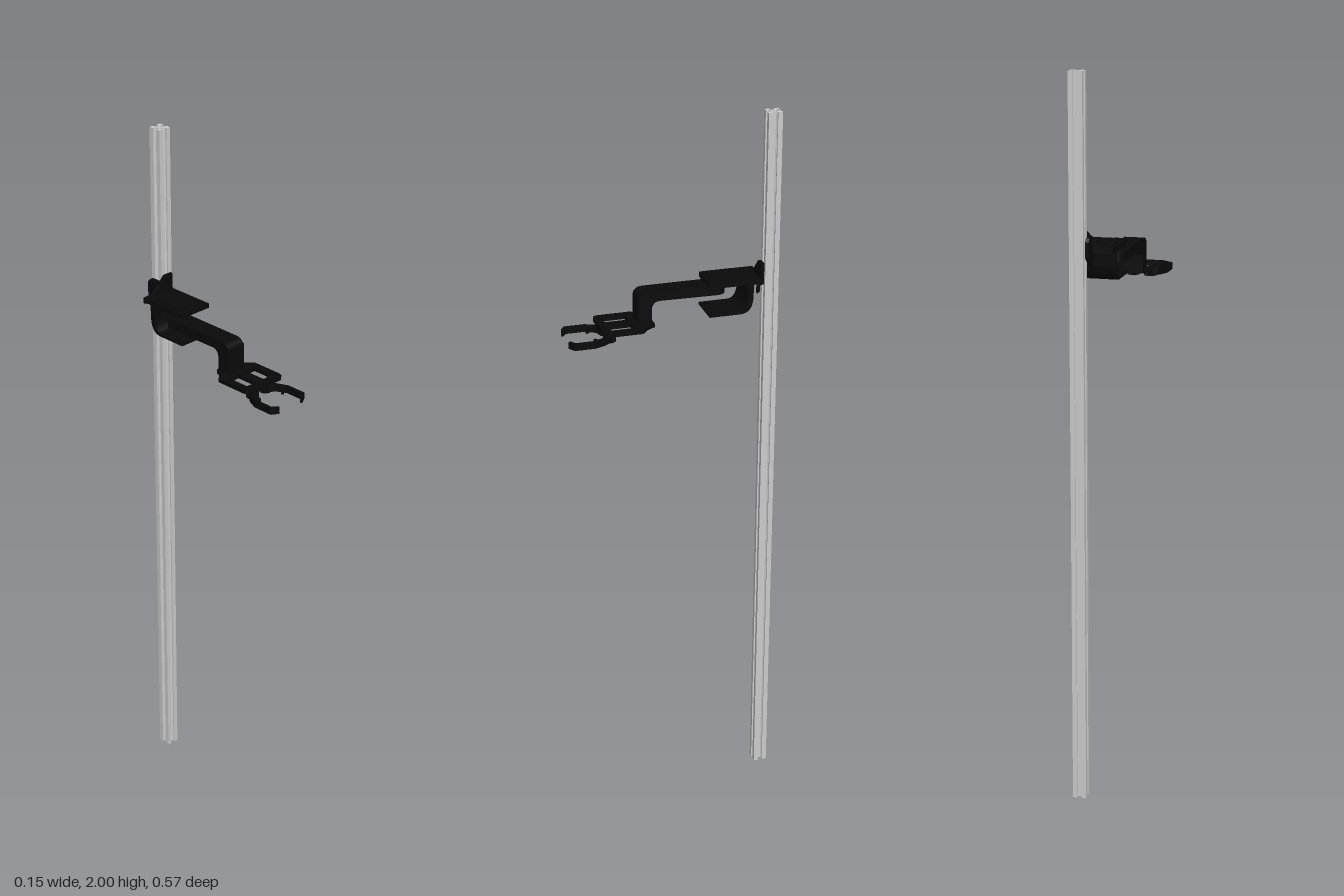
import * as THREE from 'three';

const black = new THREE.MeshStandardMaterial({ color: 0x0a0a0a });
const grey = new THREE.MeshStandardMaterial({ color: 0xcccccc });

const toShape = pts => new THREE.Shape(pts.map(p => new THREE.Vector2(p[0], p[1])));
const toHole = pts => new THREE.Path(pts.map(p => new THREE.Vector2(p[0], p[1])));

function add(parent, name, geometry, material = black) {
  const mesh = new THREE.Mesh(geometry, material);
  mesh.name = name;
  parent.add(mesh);
  return mesh;
}

// Plan outline in (x, z), filling the heights y0 to y1
function slab(shape, y0, y1) {
  return new THREE.ExtrudeGeometry(shape, { depth: y1 - y0, bevelEnabled: false, curveSegments: 8 })
    .rotateX(Math.PI / 2).translate(0, y1, 0);
}

// Side outline in (z, y), filling the widths x0 to x1
function sideSlab(shape, x0, x1) {
  return new THREE.ExtrudeGeometry(shape, { depth: x1 - x0, bevelEnabled: false, curveSegments: 8 })
    .rotateY(-Math.PI / 2).translate(x1, 0, 0);
}

function box(x0, x1, y0, y1, z0, z1) {
  return new THREE.BoxGeometry(x1 - x0, y1 - y0, z1 - z0)
    .translate((x0 + x1) / 2, (y0 + y1) / 2, (z0 + z1) / 2);
}

function pin(x, z, r, y0, y1, sides = 20) {
  return new THREE.CylinderGeometry(r, r, y1 - y0, sides).translate(x, (y0 + y1) / 2, z);
}

// Slotted square rail: one side's slot repeated around the centre
function buildPole() {
  const half = [[0.019, 0.006], [0.0145, 0.006], [0.0145, 0.0105], [0.0075, 0.004]];
  const side = [
    ...half.map(([x, y]) => [x, -y]),
    ...half.slice().reverse(),
    [0.019, 0.019],
  ];
  const pts = [];
  for (let i = 0; i < 4; i++) {
    const c = [1, 0, -1, 0][i], s = [0, 1, 0, -1][i];
    side.forEach(([x, y]) => pts.push([x * c - y * s, x * s + y * c]));
  }
  const shape = toShape(pts);
  shape.holes.push(new THREE.Path().absarc(0, 0, 0.004, 0, Math.PI * 2, true));
  return slab(shape, 0, 2).translate(0.054, 0, -0.265);
}

function buildBracket() {
  const g = new THREE.Group();
  g.name = 'shoulderBracket';

  // Top plate with rounded back corner
  const top = new THREE.Shape();
  top.moveTo(-0.033, -0.095);
  top.lineTo(-0.033, -0.235);
  top.quadraticCurveTo(-0.033, -0.245, -0.023, -0.245);
  top.lineTo(0.067, -0.245);
  top.lineTo(0.067, -0.095);
  add(g, 'topPlate', slab(top, 1.533, 1.546));
  add(g, 'topCover', box(-0.024, -0.002, 1.546, 1.55, -0.185, -0.112));

  // Curved back wall running into the thin lower plate
  const wall = new THREE.Shape();
  wall.moveTo(-0.19, 1.535);
  wall.lineTo(-0.218, 1.535);
  wall.lineTo(-0.216, 1.49);
  wall.quadraticCurveTo(-0.212, 1.452, -0.18, 1.452);
  wall.lineTo(-0.095, 1.452);
  wall.lineTo(-0.095, 1.459);
  wall.lineTo(-0.178, 1.459);
  wall.quadraticCurveTo(-0.2, 1.462, -0.203, 1.5);
  wall.quadraticCurveTo(-0.203, 1.525, -0.19, 1.535);
  add(g, 'curvedBackWall', sideSlab(wall, -0.033, 0.067));

  // Plate against the pole with a sloped shoulder
  const back = toShape([[-0.033, 1.53], [0.067, 1.53], [0.067, 1.59], [0.04, 1.59], [0, 1.548], [-0.033, 1.546]]);
  add(g, 'mountPlate', new THREE.ExtrudeGeometry(back, { depth: 0.009, bevelEnabled: false }).translate(0, 0, -0.245));

  // Flange along the side of the pole
  const flange = toShape([[-0.24, 1.49], [-0.24, 1.575], [-0.275, 1.575], [-0.284, 1.565], [-0.284, 1.525]]);
  add(g, 'poleFlange', sideSlab(flange, 0.02, 0.03));
  add(g, 'shoulderPin', pin(-0.012, -0.13, 0.012, 1.5, 1.535));
  return g;
}

function buildArm() {
  const g = new THREE.Group();
  g.name = 'forearm';

  // Beam with a downward elbow
  const beam = new THREE.Shape();
  beam.moveTo(-0.135, 1.493);
  beam.lineTo(-0.135, 1.521);
  beam.lineTo(0.06, 1.521);
  beam.quadraticCurveTo(0.088, 1.521, 0.088, 1.495);
  beam.lineTo(0.088, 1.43);
  beam.lineTo(0.05, 1.43);
  beam.lineTo(0.05, 1.475);
  beam.quadraticCurveTo(0.048, 1.493, 0.03, 1.495);
  add(g, 'beam', sideSlab(beam, -0.04, 0.016));
  add(g, 'shoulderEnd', pin(-0.012, -0.132, 0.028, 1.493, 1.521, 28));
  add(g, 'elbowMotor', box(0.016, 0.021, 1.44, 1.505, 0.054, 0.084));
  return g;
}

function buildHand() {
  const g = new THREE.Group();
  g.name = 'hand';
  g.position.x = -0.007;

  // Palm frame with two windows
  const palm = new THREE.Shape();
  palm.moveTo(-0.033, 0.045);
  palm.lineTo(0.033, 0.045);
  palm.quadraticCurveTo(0.04, 0.068, 0.067, 0.085);
  palm.lineTo(0.067, 0.175);
  palm.quadraticCurveTo(0.067, 0.192, 0.052, 0.192);
  palm.lineTo(-0.052, 0.192);
  palm.quadraticCurveTo(-0.067, 0.192, -0.067, 0.175);
  palm.lineTo(-0.067, 0.085);
  palm.quadraticCurveTo(-0.04, 0.068, -0.033, 0.045);
  for (const s of [-1, 1]) {
    palm.holes.push(toHole([[s * 0.014, 0.107], [s * 0.046, 0.107], [s * 0.046, 0.17], [s * 0.014, 0.17]]));
  }
  add(g, 'palmFrame', slab(palm, 1.425, 1.436));

  for (const s of [-1, 1]) {
    const side = s > 0 ? 'left' : 'right';
    const flip = pts => toShape(pts.map(([x, z]) => [s * x, z]));

    // Toothed wheel under the palm
    const teeth = [];
    for (let i = 0; i < 24; i++) {
      const a = i / 24 * Math.PI * 2, r = i % 2 ? 0.0135 : 0.0175;
      teeth.push([0.024 + r * Math.cos(a), 0.168 + r * Math.sin(a)]);
    }
    add(g, side + 'Gear', slab(flip(teeth), 1.397, 1.416));
    add(g, side + 'GearPin', pin(s * 0.024, 0.176, 0.005, 1.4, 1.43));

    // Bent finger with an inward tip
    add(g, side + 'Finger', slab(flip([
      [0.024, 0.178], [0.034, 0.165], [0.05, 0.185], [0.063, 0.215], [0.063, 0.272],
      [0.043, 0.284], [0.04, 0.278], [0.055, 0.268], [0.055, 0.218], [0.042, 0.192],
    ]), 1.397, 1.416));

    // Short guide link beside the finger
    add(g, side + 'Link', slab(flip([[0.054, 0.2], [0.058, 0.206], [0.043, 0.217], [0.039, 0.211]]), 1.397, 1.416));
  }
  return g;
}

export function createModel() {
  const model = new THREE.Group();
  model.name = 'poleMountedRobotArm';
  add(model, 'pole', buildPole(), grey);
  model.add(buildBracket(), buildArm(), buildHand());
  return model;
}
